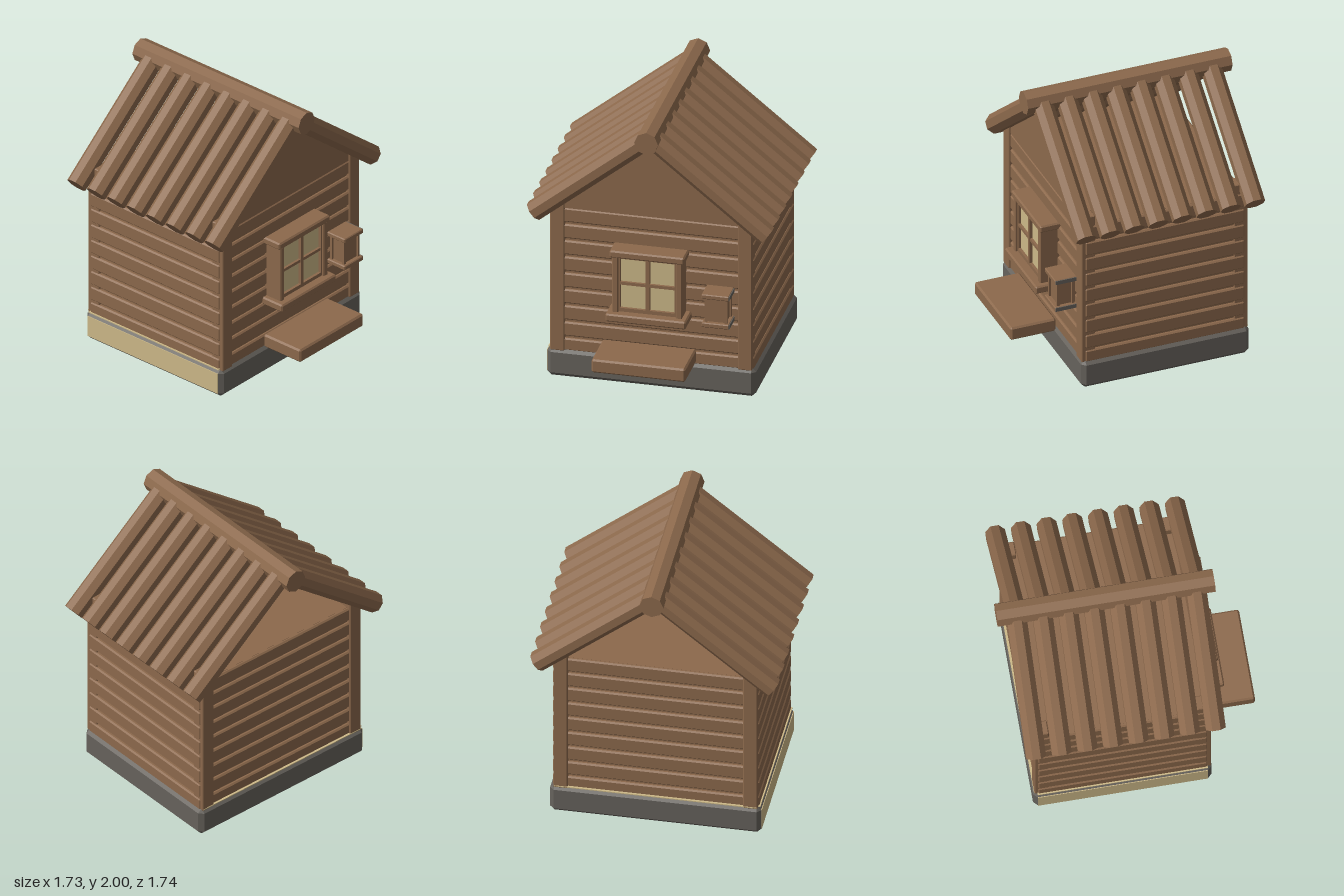
import * as THREE from 'three';
import { ConvexGeometry } from 'three/addons/geometries/ConvexGeometry.js';

const mat = (name, color) => {
  const m = new THREE.MeshStandardMaterial({ color });
  m.name = name;
  return m;
};

// Box with chamfered edges, given by its min and max corners
function chamferBox(a, b, c) {
  const mid = a.map((v, i) => (v + b[i]) / 2);
  const half = a.map((v, i) => (b[i] - v) / 2);
  const pts = [];
  for (const sx of [-1, 1]) for (const sy of [-1, 1]) for (const sz of [-1, 1]) {
    const s = [sx, sy, sz];
    for (let full = 0; full < 3; full++) {
      const p = s.map((v, i) => mid[i] + v * (half[i] - (i === full ? 0 : c)));
      pts.push(new THREE.Vector3(...p));
    }
  }
  return new ConvexGeometry(pts);
}

export function createModel() {
  const root = new THREE.Group();
  root.name = 'cabin';
  const wood = mat('brown wood', 0x8c694c);
  const stone = mat('grey stone', 0x66625c);
  const cream = mat('cream', 0xcdb988);

  const group = (name) => {
    const g = new THREE.Group();
    g.name = name;
    root.add(g);
    return g;
  };
  const add = (parent, name, geometry, material = wood) => {
    const m = new THREE.Mesh(geometry, material);
    m.name = name;
    parent.add(m);
    return m;
  };
  const block = (parent, name, a, b, c = 0.008, material = wood) =>
    add(parent, name, chamferBox(a, b, c), material);
  const box = (parent, name, a, b, material = wood) => {
    const m = add(parent, name, new THREE.BoxGeometry(...a.map((v, i) => b[i] - v)), material);
    m.position.set(...a.map((v, i) => (v + b[i]) / 2));
    return m;
  };

  // Foundation, with a pale face on one side and along the rear ledges
  const base = group('foundation');
  block(base, 'foundationBlock', [-0.735, 0, -0.735], [0.735, 0.215, 0.505], 0.03, stone);
  box(base, 'paleSide', [-0.738, 0.03, -0.705], [-0.733, 0.187, 0.475], cream);
  box(base, 'paleSideLedge', [-0.728, 0.21, -0.705], [-0.69, 0.217, 0.475], cream);
  box(base, 'paleRearLedge', [-0.705, 0.21, -0.728], [0.705, 0.217, -0.69], cream);

  // Wall core and corner posts
  const walls = group('walls');
  box(walls, 'wallCore', [-0.695, 0.2, -0.69], [0.695, 1.285, 0.467]);
  for (const s of [-1, 1]) for (const z of [-0.725, 0.4]) {
    const x = [s * 0.61, s * 0.71].sort((p, q) => p - q);
    block(walls, 'cornerPost', [x[0], 0.2, z], [x[1], 1.36, z + 0.1], 0.006);
  }

  // Horizontal boards on all four walls
  for (let i = 0; i < 9; i++) {
    const y0 = i === 0 ? 0.2 : 0.186 + i * 0.124;
    const y1 = Math.min(0.292 + i * 0.124, 1.29);
    block(walls, 'frontBoard', [-0.64, y0, 0.45], [0.64, y1, 0.488], 0.01);
    block(walls, 'backBoard', [-0.64, y0, -0.712], [0.64, y1, -0.67], 0.01);
    block(walls, 'rightBoard', [-0.718, y0, -0.702], [-0.68, y1, 0.475], 0.01);
    block(walls, 'leftBoard', [0.68, y0, -0.702], [0.718, y1, 0.475], 0.01);
  }

  // Front gable; the rear of the loft is open
  const tri = new THREE.Shape();
  tri.moveTo(-0.7, 1.285);
  tri.lineTo(0.7, 1.285);
  tri.lineTo(0, 1.86);
  const gable = add(walls, 'frontGable',
    new THREE.ExtrudeGeometry(tri, { depth: 0.02, bevelEnabled: false }));
  gable.position.z = 0.465;

  // Roof logs and ridge beam, all eight-sided
  const roof = group('roof');
  const log = (name, from, to, r, turn) => {
    const dir = to.clone().sub(from);
    const g = new THREE.CylinderGeometry(r, r, dir.length(), 8).toNonIndexed();
    g.rotateY(turn);
    g.computeVertexNormals();
    const m = add(roof, name, g);
    m.position.copy(from).add(to).multiplyScalar(0.5);
    m.quaternion.setFromUnitVectors(new THREE.Vector3(0, 1, 0), dir.normalize());
  };
  for (let i = 0; i < 8; i++) {
    const z = 0.512 - i * 0.178;
    for (const s of [-1, 1]) {
      log('roofLog', new THREE.Vector3(s * 0.82, 1.253, z),
        new THREE.Vector3(s * 0.025, 1.893, z), 0.074, Math.PI / 8);
    }
  }
  log('ridgeBeam', new THREE.Vector3(0, 1.916, -0.87), new THREE.Vector3(0, 1.916, 0.64), 0.084, 0);

  // Window: jambs, lintel, sill, inner frame and four panes
  const win = group('window');
  box(win, 'windowBack', [-0.21, 0.59, 0.46], [0.21, 1.03, 0.575]);
  block(win, 'lintel', [-0.263, 1.012, 0.47], [0.263, 1.065, 0.625], 0.01);
  block(win, 'sill', [-0.283, 0.542, 0.47], [0.283, 0.6, 0.665], 0.01);
  for (const s of [-1, 1]) {
    const span = (p, q) => [s * p, s * q].sort((u, v) => u - v);
    const j = span(0.203, 0.245);
    block(win, 'jamb', [j[0], 0.59, 0.47], [j[1], 1.02, 0.618], 0.006);
    const f = span(0.192, 0.206);
    box(win, 'innerFrameSide', [f[0], 0.6, 0.55], [f[1], 1.015, 0.6]);
    const p = span(0.015, 0.195);
    for (const y of [0.627, 0.823]) {
      box(win, 'windowPane', [p[0], y, 0.572], [p[1], y + 0.178, 0.58], cream);
    }
  }
  box(win, 'innerFrameBottom', [-0.2, 0.6, 0.55], [0.2, 0.627, 0.6]);
  box(win, 'innerFrameTop', [-0.2, 1.001, 0.55], [0.2, 1.015, 0.6]);
  box(win, 'verticalBar', [-0.014, 0.6, 0.55], [0.014, 1.015, 0.6]);
  box(win, 'horizontalBar', [-0.2, 0.803, 0.55], [0.2, 0.825, 0.598]);

  // Wall lantern with grey outer edges on its cap and base
  const lantern = group('wallLantern');
  box(lantern, 'lanternBody', [0.42, 0.59, 0.47], [0.555, 0.795, 0.612]);
  for (const x of [0.407, 0.548]) for (const z of [0.495, 0.605]) {
    box(lantern, 'lanternPost', [x, 0.59, z], [x + 0.02, 0.795, z + 0.02]);
  }
  for (const [name, y] of [['lanternBase', 0.568], ['lanternCap', 0.783]]) {
    block(lantern, name, [0.39, y, 0.47], [0.583, y + 0.035, 0.645], 0.006);
    box(lantern, name + 'Edge', [0.58, y + 0.003, 0.488], [0.586, y + 0.032, 0.641], stone);
  }

  // Front step
  block(root, 'frontStep', [-0.33, 0.245, 0.535], [0.33, 0.345, 0.87], 0.012);

  return root;
}
